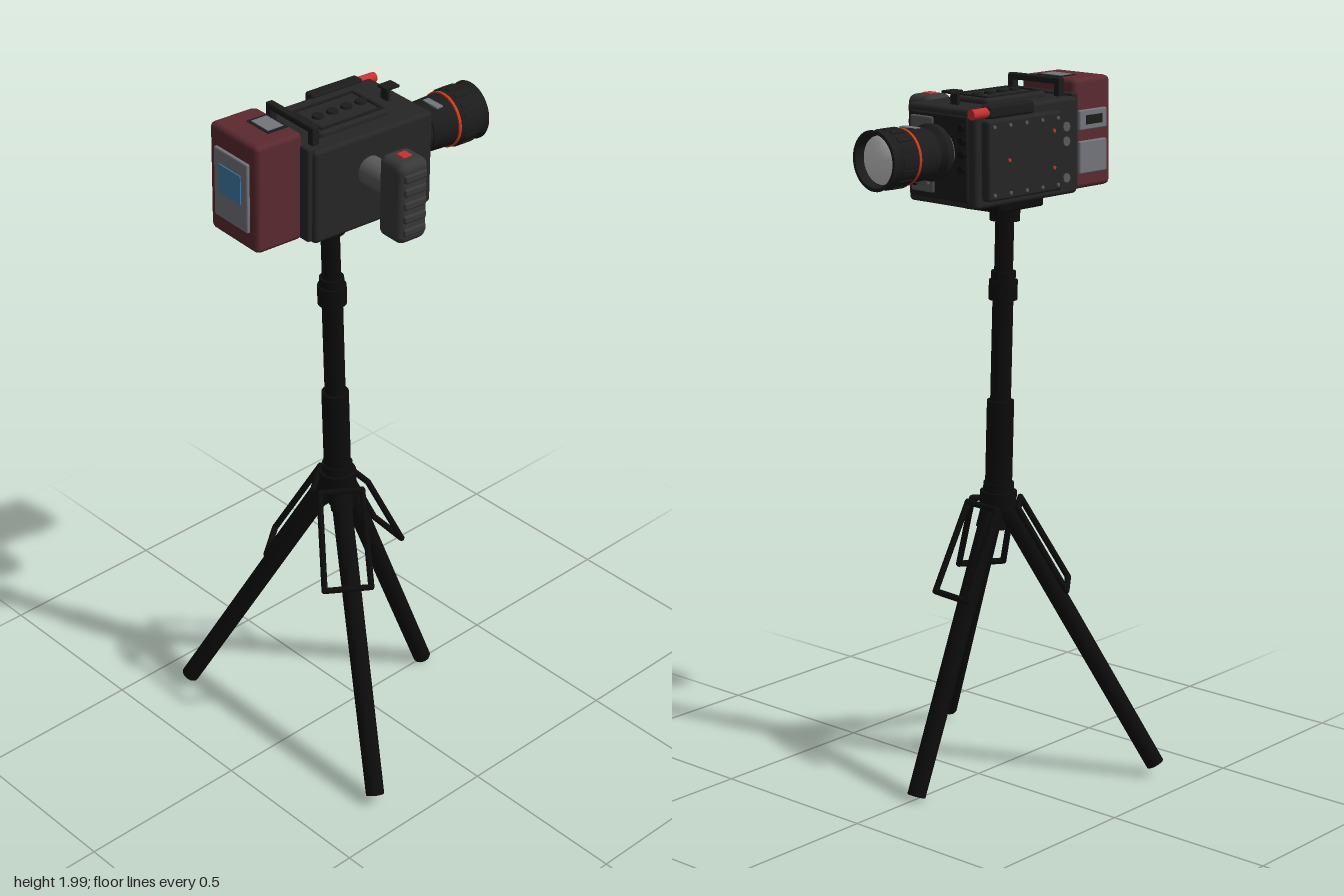
import * as THREE from 'three';
import { toCreasedNormals } from 'three/addons/utils/BufferGeometryUtils.js';
import { RoundedBoxGeometry } from 'three/addons/geometries/RoundedBoxGeometry.js';

const mat = (color) => new THREE.MeshStandardMaterial({ color });
const M = {
  black: mat(0x0c0c0c), dark: mat(0x1c1c1c), body: mat(0x262626), grip: mat(0x383838),
  metal: mat(0x5a5a5a), grey: mat(0x73767c), maroon: mat(0x5c2a30), red: mat(0xc83030),
  orange: mat(0xc83a1c), glass: mat(0xcccccc), screen: mat(0x3f7ca6),
};
const V = (x, y, z) => new THREE.Vector3(x, y, z);

function add(parent, name, geometry, material, x = 0, y = 0, z = 0) {
  const mesh = new THREE.Mesh(geometry, material);
  mesh.name = name;
  mesh.position.set(x, y, z);
  parent.add(mesh);
  return mesh;
}

// Box given by its limits on each axis, with optional bevel
function block(parent, name, material, [x0, x1], [y0, y1], [z0, z1], bevel = 0, seg = 1) {
  const size = [x1 - x0, y1 - y0, z1 - z0];
  const geo = bevel ? new RoundedBoxGeometry(...size, seg, bevel) : new THREE.BoxGeometry(...size);
  return add(parent, name, geo, material, (x0 + x1) / 2, (y0 + y1) / 2, (z0 + z1) / 2);
}

// Cylinder between two points
function rod(parent, name, material, a, b, r, r2 = r, sides = 24) {
  const d = b.clone().sub(a);
  const m = add(parent, name, new THREE.CylinderGeometry(r2, r, d.length(), sides), material);
  m.position.copy(a).add(b).multiplyScalar(0.5);
  m.quaternion.setFromUnitVectors(V(0, 1, 0), d.normalize());
  return m;
}

// Solid turned around the x axis from [x, radius] pairs
function turned(parent, name, material, profile) {
  const geo = new THREE.LatheGeometry(profile.map(([x, r]) => new THREE.Vector2(r, x)), 40);
  geo.rotateZ(-Math.PI / 2);
  return add(parent, name, toCreasedNormals(geo, 0.5), material);
}

function buildTripod() {
  const g = new THREE.Group();
  g.name = 'tripod';
  // Slightly leaning telescopic column
  const at = (y) => V(-0.06 - (y - 0.8) * 0.018, y, -0.02 - (y - 0.8) * 0.012);
  const column = [
    ['lowerColumn', 0.8, 1.11, 0.038], ['middleColumn', 1.08, 1.43, 0.029],
    ['columnClamp', 1.395, 1.45, 0.04], ['clampRim', 1.44, 1.475, 0.034],
    ['upperColumn', 1.43, 1.64, 0.026], ['hub', 0.8, 0.85, 0.052],
    ['hubCollar', 0.845, 0.875, 0.043], ['hubCore', 0.74, 0.81, 0.03],
    ['headNeck', 1.615, 1.655, 0.042],
  ];
  for (const [name, y0, y1, r] of column) rod(g, name, M.black, at(y0), at(y1), r);
  rod(g, 'clampKnob', M.black, at(1.425), at(1.425).add(V(0.02, 0, -0.045)), 0.012);
  block(g, 'headPlate', M.black, [-0.165, 0.02], [1.65, 1.685], [-0.095, 0.045], 0.008);

  // Legs, each with a spreader frame facing the same way
  const feet = [V(0.262, 0.025, 0.0), V(-0.29, 0.045, 0.38), V(-0.328, 0.05, -0.385)];
  const frames = [V(0.115, 0.575, 0.0), V(-0.175, 0.58, 0.145), V(-0.18, 0.58, -0.175)];
  feet.forEach((foot, i) => {
    const hub = V(-0.06, 0, -0.02);
    const out = foot.clone().sub(hub).setY(0).normalize();
    const hip = hub.clone().addScaledVector(out, 0.02).setY(0.81);
    rod(g, 'leg', M.black, hip, foot, 0.028, 0.026);
    const knee = hip.clone().lerp(foot, 0.08);
    rod(g, 'legSocket', M.black, hip, knee, 0.032);

    const dir = frames[i].clone().sub(hub).setY(0).normalize();
    const side = V(-dir.z, 0, dir.x);
    const top = hub.clone().addScaledVector(dir, 0.06).setY(0.815);
    const p = [
      top.clone().addScaledVector(side, -0.06), top.clone().addScaledVector(side, 0.06),
      frames[i].clone().addScaledVector(side, 0.066), frames[i].clone().addScaledVector(side, -0.066),
    ];
    p.forEach((a, k) => {
      rod(g, 'spreaderBar', M.black, a, p[(k + 1) % 4], 0.009, 0.009, 10);
      add(g, 'spreaderCorner', new THREE.SphereGeometry(0.009, 10, 8), M.black, a.x, a.y, a.z);
    });
  });
  return g;
}

function buildLens() {
  const g = new THREE.Group();
  g.name = 'lens';
  turned(g, 'lensMount', M.metal, [[0.15, 0], [0.15, 0.062], [0.182, 0.058], [0.182, 0]]);
  turned(g, 'lensCollar', M.dark, [[0.178, 0.05], [0.182, 0.075], [0.203, 0.077], [0.218, 0.064], [0.225, 0.06]]);
  turned(g, 'lensBarrel', M.dark, [[0.218, 0], [0.22, 0.066], [0.228, 0.07], [0.302, 0.073], [0.302, 0]]);
  turned(g, 'focusMark', M.orange, [[0.299, 0.06], [0.299, 0.077], [0.307, 0.077], [0.307, 0.06]]);
  turned(g, 'focusRing', M.dark, [[0.306, 0.06], [0.308, 0.076], [0.318, 0.079], [0.368, 0.079], [0.376, 0.075],
    [0.38, 0.075], [0.4, 0.081], [0.4, 0.072], [0.375, 0.064], [0.375, 0]]);
  turned(g, 'frontGlass', M.glass, [[0.376, 0.066], [0.386, 0.045], [0.391, 0.02], [0.392, 0]]);
  // Focus ring grips
  for (let i = 0; i < 16; i++) {
    const a = (i / 16) * Math.PI * 2;
    const rib = block(g, 'focusGrip', M.dark, [0.32, 0.366], [-0.002, 0.002], [-0.007, 0.007]);
    rib.position.set(0.343, 0.079 * Math.cos(a), 0.079 * Math.sin(a));
    rib.rotation.x = a;
  }
  block(g, 'lensWindow', M.grey, [0.24, 0.262], [0.066, 0.0725], [-0.01, 0.05], 0.002);
  return g;
}

function buildBattery() {
  const g = new THREE.Group();
  g.name = 'battery';
  block(g, 'batteryCase', M.maroon, [-0.385, -0.238], [-0.143, 0.161], [-0.11, 0.09], 0.014);
  block(g, 'batteryBackPanel', M.grey, [-0.394, -0.38], [-0.09, 0.105], [-0.08, 0.06], 0.004);
  block(g, 'batteryDisplay', M.screen, [-0.397, -0.39], [-0.015, 0.065], [-0.055, 0.035]);
  block(g, 'topWindowFrame', M.dark, [-0.312, -0.249], [0.155, 0.163], [-0.048, 0.042]);
  block(g, 'topWindow', M.grey, [-0.305, -0.256], [0.157, 0.165], [-0.038, 0.032]);
  block(g, 'sideLowerPanel', M.grey, [-0.36, -0.252], [-0.1, -0.01], [-0.12, -0.105], 0.004);
  block(g, 'sideUpperPanel', M.grey, [-0.36, -0.252], [0.02, 0.075], [-0.12, -0.105], 0.004);
  block(g, 'sideSlot', M.dark, [-0.34, -0.275], [0.035, 0.06], [-0.122, -0.11]);
  return g;
}

function buildGrip() {
  const g = new THREE.Group();
  g.name = 'handGrip';
  rod(g, 'gripArm', M.metal, V(-0.052, 0.015, 0.12), V(-0.052, 0.015, 0.235), 0.039);
  block(g, 'gripBody', M.grip, [-0.1, -0.004], [-0.12, 0.11], [0.216, 0.312], 0.024, 3);
  block(g, 'gripButton', M.red, [-0.066, -0.036], [0.1, 0.114], [0.248, 0.278], 0.003);
  for (let i = 0; i < 5; i++) {
    const y = -0.083 + i * 0.038;
    block(g, 'fingerPad', M.grip, [-0.088, -0.016], [y - 0.012, y + 0.012], [0.3, 0.317], 0.007, 2);
  }
  return g;
}

function buildBody() {
  const g = new THREE.Group();
  g.name = 'cameraBody';
  block(g, 'bodyShell', M.body, [-0.232, 0.158], [-0.147, 0.118], [-0.131, 0.131], 0.012, 2);
  block(g, 'rearFlange', M.body, [-0.246, -0.222], [-0.14, 0.126], [-0.12, 0.12], 0.006);
  block(g, 'bottomHatch', M.black, [-0.15, 0.1], [-0.152, -0.14], [-0.075, 0.075], 0.004);

  // Top plate with rim and four buttons
  block(g, 'topPlate', M.body, [-0.172, 0.058], [0.11, 0.134], [-0.072, 0.076], 0.01);
  for (const z of [-0.058, 0.062]) block(g, 'topPlateRim', M.dark, [-0.155, 0.042], [0.13, 0.138], [z - 0.004, z + 0.004]);
  for (const x of [-0.155, 0.042]) block(g, 'topPlateRim', M.dark, [x - 0.004, x + 0.004], [0.13, 0.138], [-0.062, 0.066]);
  for (let i = 0; i < 4; i++) {
    add(g, 'topButton', new THREE.CylinderGeometry(0.015, 0.017, 0.008, 24), M.dark, -0.12 + i * 0.047, 0.137, 0);
  }

  // Carry bar across the rear
  block(g, 'carryBar', M.dark, [-0.214, -0.192], [0.15, 0.168], [-0.098, 0.098], 0.004);
  for (const z of [-0.088, 0.088]) block(g, 'carryBarPost', M.dark, [-0.214, -0.192], [0.1, 0.165], [z - 0.01, z + 0.01], 0.003);

  // Accessory shoe
  block(g, 'shoePost', M.dark, [0.1, 0.108], [0.11, 0.155], [-0.014, 0.014]);
  block(g, 'shoePlate', M.dark, [0.092, 0.136], [0.15, 0.157], [-0.018, 0.018]);

  // Side rail with red tip
  block(g, 'sideRail', M.dark, [-0.045, 0.125], [0.093, 0.127], [-0.152, -0.116], 0.008, 2);
  rod(g, 'railTip', M.red, V(0.12, 0.11, -0.136), V(0.178, 0.109, -0.136), 0.014);

  // Access panel, screws and ports on the far side
  block(g, 'sidePanel', M.body, [-0.145, 0.135], [-0.125, 0.09], [-0.158, -0.12], 0.008);
  const dot = (name, m, x, y, z, r) => rod(g, name, m, V(x, y, z + 0.008), V(x, y, z - 0.004), r, r, 12);
  for (let i = 0; i < 5; i++) {
    for (const y of [-0.108, 0.073]) dot('panelScrew', M.metal, -0.125 + i * 0.06, y, -0.158, 0.005);
  }
  for (const y of [-0.1, 0.0, 0.04]) dot('sidePort', M.metal, -0.185, y, -0.131, 0.013);
  for (const [x, y] of [[-0.11, 0.04], [-0.11, -0.06], [0.06, -0.02]]) dot('statusLight', M.red, x, y, -0.158, 0.005);

  // Front face: control strip, bezel and buttons
  block(g, 'frontPlate', M.dark, [0.15, 0.165], [-0.13, 0.1], [-0.105, 0.115], 0.005);
  block(g, 'frontStrip', M.metal, [0.155, 0.17], [-0.115, 0.09], [0.02, 0.108], 0.005);
  for (const [y, z] of [[0.07, -0.09], [0.035, -0.092], [0.0, -0.092], [-0.04, -0.088], [-0.09, 0.09]]) {
    rod(g, 'frontButton', M.black, V(0.155, y, z), V(0.176, y, z), 0.012, 0.01, 16);
  }
  rod(g, 'frontLight', M.red, V(0.16, -0.08, 0.08), V(0.174, -0.08, 0.08), 0.006, 0.006, 12);
  block(g, 'lensRelease', M.metal, [0.16, 0.178], [-0.095, -0.05], [0.035, 0.085], 0.004);
  return g;
}

export function createModel() {
  const model = new THREE.Group();
  model.name = 'cameraOnTripod';
  const camera = new THREE.Group();
  camera.name = 'camera';
  camera.add(buildBody(), buildBattery(), buildLens(), buildGrip());
  camera.position.set(0, 1.83, -0.018);
  camera.rotation.set(0, -0.07, -0.015);
  model.add(buildTripod(), camera);
  return model;
}
